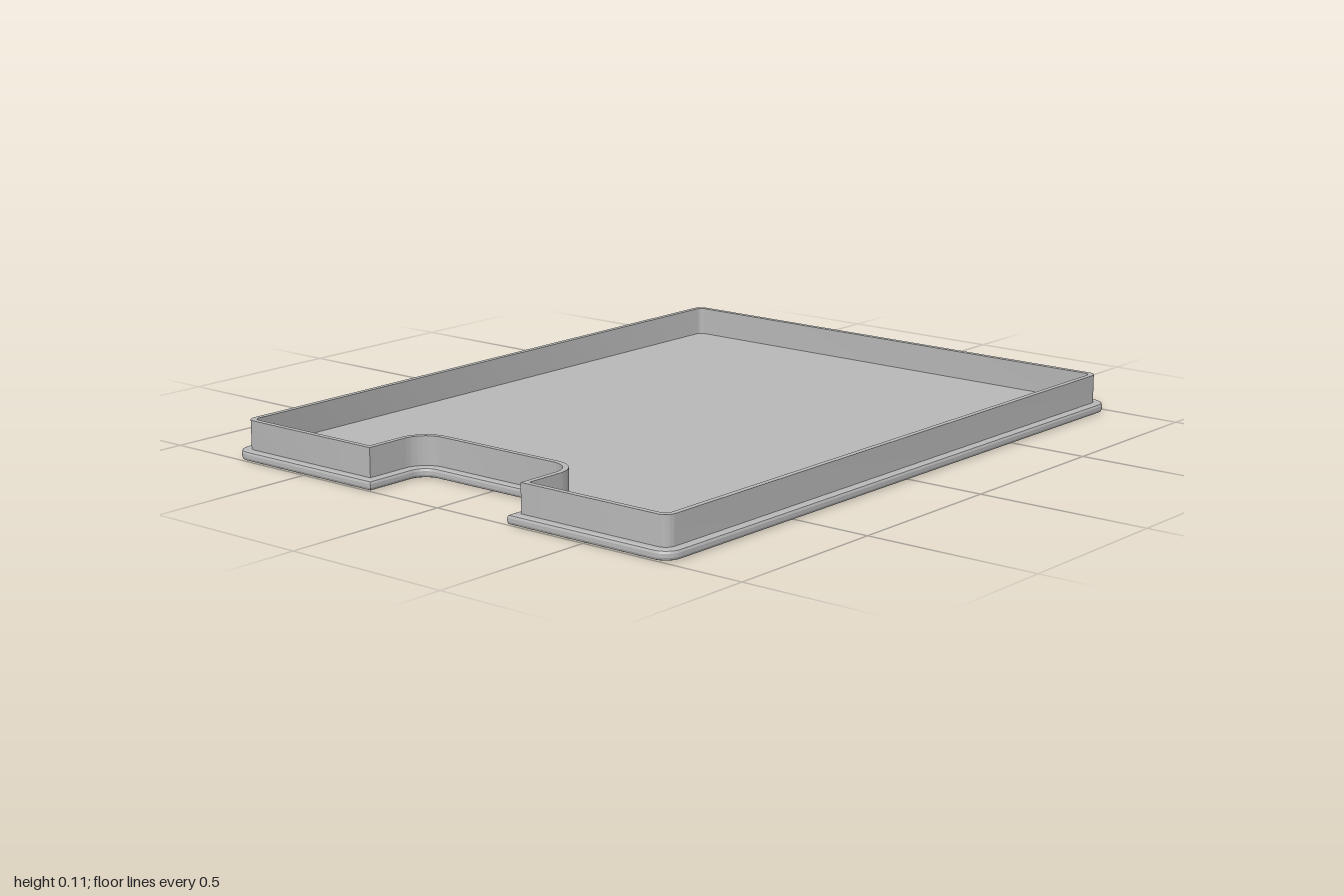
import * as THREE from 'three';
import { toCreasedNormals } from 'three/addons/utils/BufferGeometryUtils.js';

const HALF_W = 0.775, HALF_L = 1, NOTCH_W = 0.245, NOTCH_Z = 0.8;

// Rounded rectangle with a notch in the front edge, inset by d
function outline(d, PathType = THREE.Shape) {
  const w = HALF_W - d, l = HALF_L - d, n = NOTCH_W + d, nz = -(NOTCH_Z - d);
  const r = 0.05 - d * 0.8, nr = 0.045 + d;
  const p = new PathType();
  p.moveTo(n, -l);
  p.lineTo(w - r, -l);
  p.absarc(w - r, -l + r, r, -Math.PI / 2, 0);
  p.lineTo(w, l - r);
  p.absarc(w - r, l - r, r, 0, Math.PI / 2);
  p.lineTo(-w + r, l);
  p.absarc(-w + r, l - r, r, Math.PI / 2, Math.PI);
  p.lineTo(-w, -l + r);
  p.absarc(-w + r, -l + r, r, Math.PI, Math.PI * 1.5);
  p.lineTo(-n, -l);
  p.lineTo(-n, nz - nr);
  p.absarc(-n + nr, nz - nr, nr, Math.PI, Math.PI / 2, true);
  p.lineTo(n - nr, nz);
  p.absarc(n - nr, nz - nr, nr, Math.PI / 2, 0, true);
  p.closePath();
  return p;
}

// Extrude upward from height y
function slab(name, shape, options, y, material) {
  const extruded = new THREE.ExtrudeGeometry(shape, { curveSegments: 8, bevelEnabled: false, ...options });
  extruded.rotateX(-Math.PI / 2);
  extruded.translate(0, y, 0);
  const mesh = new THREE.Mesh(toCreasedNormals(extruded, 0.35), material);
  mesh.name = name;
  return mesh;
}

export function createModel() {
  const grey = new THREE.MeshStandardMaterial({ color: 0xb8b8b8 });
  grey.name = 'grey plastic';
  const group = new THREE.Group();
  group.name = 'notchedTrayLid';

  // Base plate with a softened edge
  const bevel = 0.009;
  group.add(slab('basePlate', outline(0), {
    depth: 0.028 - 2 * bevel, bevelEnabled: true, bevelThickness: bevel,
    bevelSize: bevel, bevelOffset: -bevel, bevelSegments: 2,
  }, bevel, grey));

  // Thin upright wall following the plate outline
  const wall = outline(0.025);
  wall.holes.push(outline(0.041, THREE.Path));
  group.add(slab('rimWall', wall, { depth: 0.084 }, 0.026, grey));

  return group;
}
